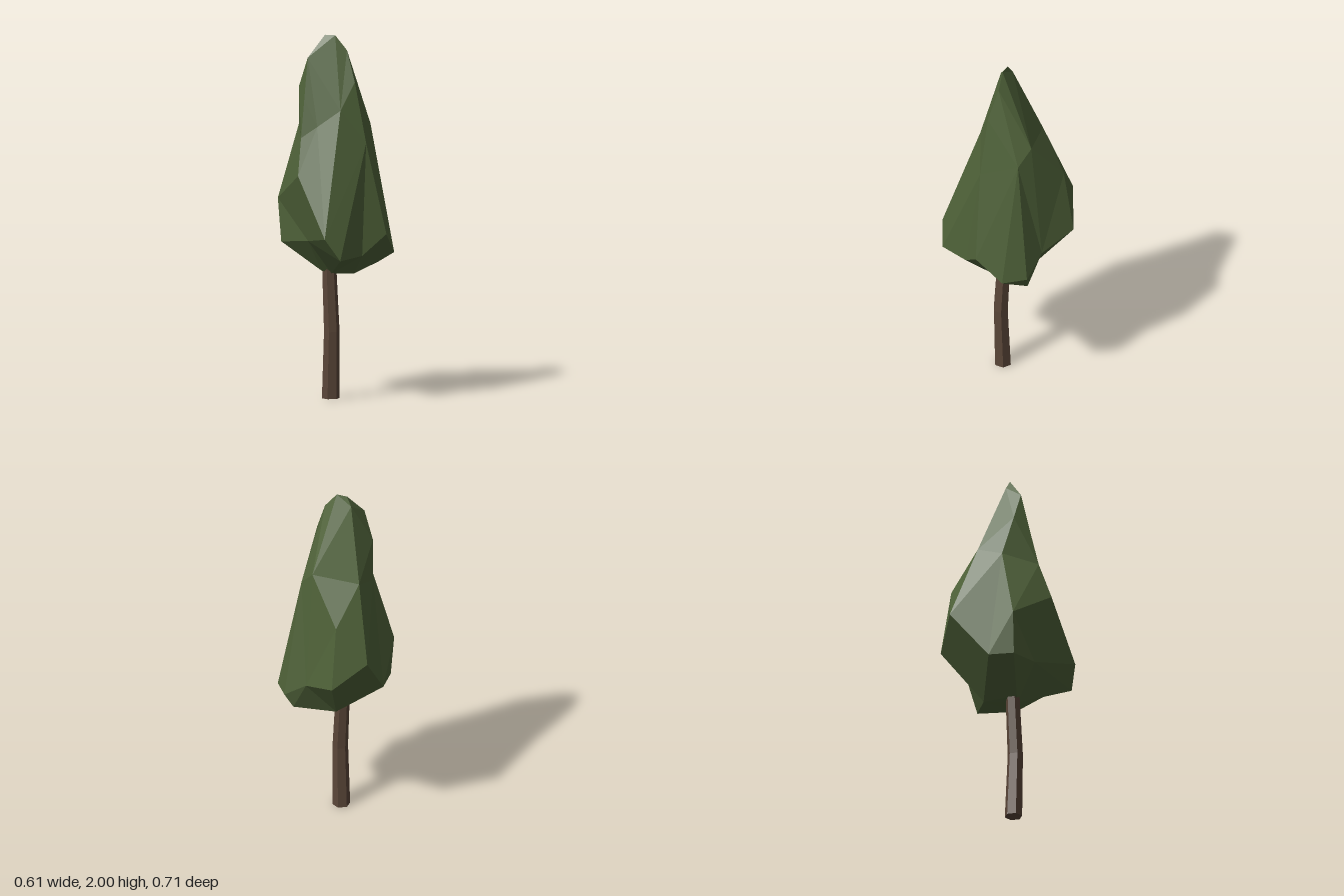
import * as THREE from 'three';
import { ConvexGeometry } from 'three/addons/geometries/ConvexGeometry.js';

const green = new THREE.MeshStandardMaterial({ color: 0x4f6239, flatShading: true });
green.name = 'leaf green';
const brown = new THREE.MeshStandardMaterial({ color: 0x5a4638, flatShading: true });
brown.name = 'bark brown';

// Corners of the faceted crown, from the tip down
const corners = [
  [-0.06, 2, 0.02], [0, 2, 0.02], [0.065, 1.92, 0.01], [-0.09, 1.95, 0.005],
  [-0.13, 1.88, 0.1], [-0.19, 1.72, 0.075], [0.125, 1.75, 0.045], [-0.13, 1.66, 0.15],
  [0.07, 1.6, 0.12], [0.06, 1.59, -0.19], [-0.19, 1.55, -0.128], [0.195, 1.42, 0.055],
  [0.14, 1.5, -0.15], [-0.05, 1.51, 0.16], [-0.13, 1.45, 0.2], [-0.215, 1.5, 0.015],
  [-0.12, 1.34, -0.295], [-0.12, 1.25, 0.27], [-0.305, 1.1, 0.1], [-0.29, 1.13, -0.26],
  [-0.12, 0.98, -0.355], [0.07, 0.92, 0.355], [0.302, 0.92, 0.025], [0.07, 0.91, -0.26],
  [-0.1, 0.88, 0.17], [-0.285, 0.86, 0.1], [-0.297, 0.86, -0.04], [0.205, 0.81, 0.14],
  [0.145, 0.8, 0.315], [0.287, 0.8, -0.13], [0.205, 0.81, -0.24], [0.16, 0.73, -0.22],
  [-0.055, 0.695, -0.13], [-0.065, 0.705, 0.06], [-0.01, 0.69, 0.05], [0.105, 0.69, 0.01],
].map((p) => new THREE.Vector3(...p));

// Wraps the corners in triangles by their direction from the crown's middle, so dents survive
function makeCrown() {
  const dirs = corners.map((p) => new THREE.Vector3(p.x, (p.y - 1.15) * 0.45, p.z).normalize());
  const geometry = new ConvexGeometry(dirs);
  const pos = geometry.attributes.position;
  const v = new THREE.Vector3();
  for (let i = 0; i < pos.count; i++) {
    v.fromBufferAttribute(pos, i);
    let best = 0;
    dirs.forEach((d, k) => {
      if (d.distanceToSquared(v) < dirs[best].distanceToSquared(v)) best = k;
    });
    pos.setXYZ(i, corners[best].x, corners[best].y, corners[best].z);
  }
  geometry.computeVertexNormals();
  return geometry;
}

// Six-sided trunk with a slight bend: [x, y, z, radius] for each ring
function makeTrunk() {
  const rings = [[-0.033, 0.74, 0.027, 0.039], [-0.013, 0.37, 0.038, 0.043], [-0.022, 0, 0.03, 0.049]];
  const geometry = new THREE.CylinderGeometry(1, 1, 2, 6, 2);
  const pos = geometry.attributes.position;
  for (let i = 0; i < pos.count; i++) {
    const [x, y, z, r] = rings[Math.round(1 - pos.getY(i))];
    pos.setXYZ(i, x + pos.getX(i) * r, y, z + pos.getZ(i) * r);
  }
  geometry.computeVertexNormals();
  return geometry;
}

export function createModel() {
  const tree = new THREE.Group();
  tree.name = 'tree';
  const crown = new THREE.Mesh(makeCrown(), green);
  crown.name = 'crown';
  const trunk = new THREE.Mesh(makeTrunk(), brown);
  trunk.name = 'trunk';
  tree.add(crown, trunk);
  return tree;
}
